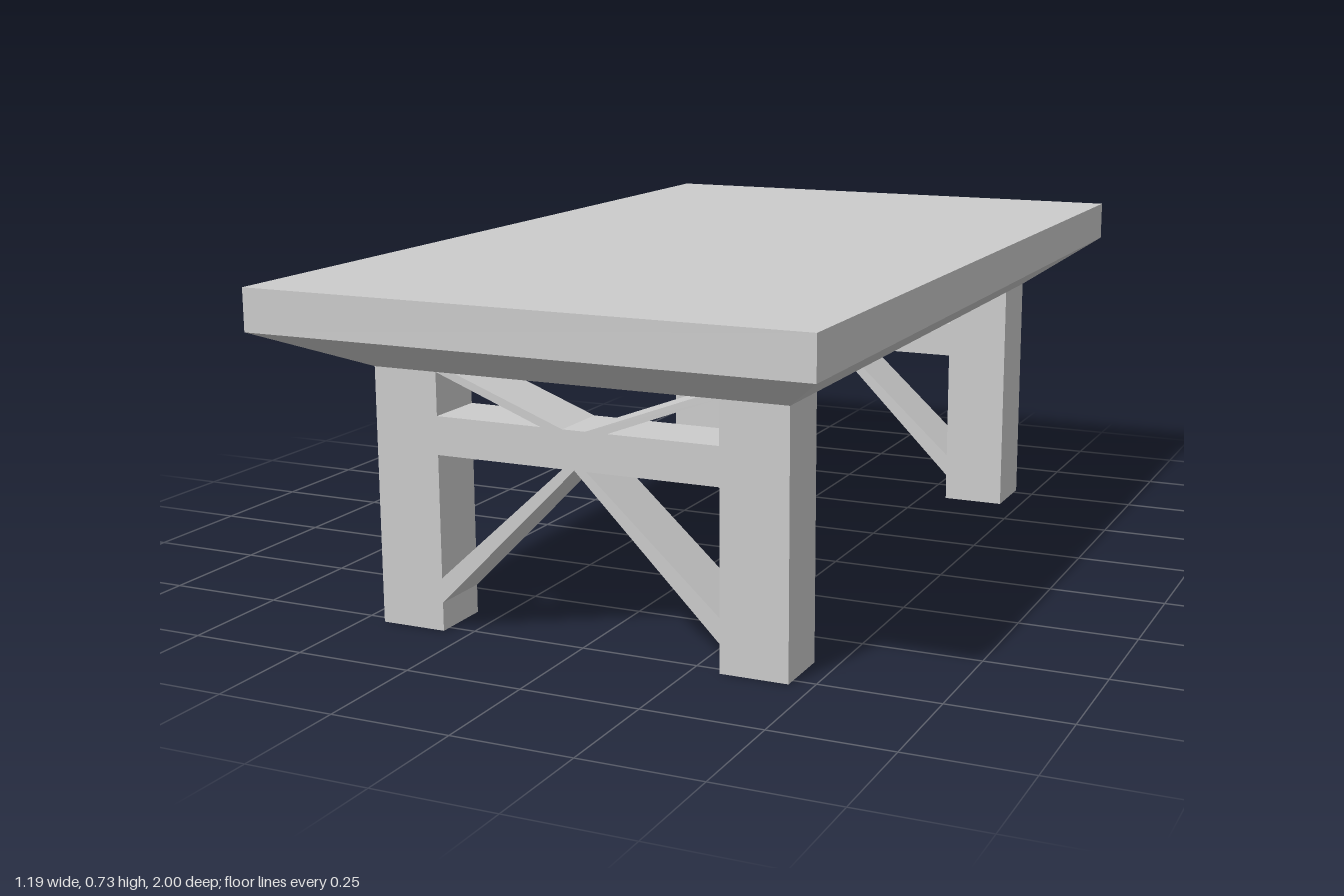
import * as THREE from 'three';

const material = new THREE.MeshStandardMaterial({ color: 0xcccccc, flatShading: true });

function addMesh(parent, name, geometry) {
  const mesh = new THREE.Mesh(geometry, material);
  mesh.name = name;
  parent.add(mesh);
  return mesh;
}

// Box given by its limits on each axis
function block(x0, x1, y0, y1, z0, z1) {
  return new THREE.BoxGeometry(x1 - x0, y1 - y0, z1 - z0)
    .translate((x0 + x1) / 2, (y0 + y1) / 2, (z0 + z1) / 2);
}

// Plank with the given outline, mirrored in x for side = -1
function plank(points, side, z0, z1) {
  const shape = new THREE.Shape(points.map(([x, y]) => new THREE.Vector2(x * side, y)));
  return new THREE.ExtrudeGeometry(shape, { depth: z1 - z0, bevelEnabled: false })
    .translate(0, 0, z0);
}

const TOP_X = 0.593, TOP_Z = 1;
const APRON_X = 0.452, APRON_Z = 0.773;
const APRON_Y = 0.54, SLAB_Y = 0.637, TOP_Y = 0.725;
const LEG_IN = 0.309, RAIL_LOW = 0.37, RAIL_HIGH = 0.45;

function createTrestle(name, z0, z1) {
  const trestle = new THREE.Group();
  trestle.name = name;
  addMesh(trestle, 'crossRail', block(-LEG_IN, LEG_IN, RAIL_LOW, RAIL_HIGH, z0, z1));
  for (const side of [1, -1]) {
    const label = side > 0 ? 'left' : 'right';
    const xs = [side * LEG_IN, side * APRON_X].sort((a, b) => a - b);
    addMesh(trestle, label + 'Leg', block(xs[0], xs[1], 0, APRON_Y, z0, z1));
    // Diagonal braces below and above the rail
    addMesh(trestle, label + 'LowerBrace', plank(
      [[LEG_IN, 0.06], [LEG_IN, 0.112], [0.026, RAIL_LOW], [0, RAIL_LOW]], side, z0, z1));
    addMesh(trestle, label + 'UpperBrace', plank(
      [[0.025, RAIL_HIGH], [0.073, RAIL_HIGH], [LEG_IN, APRON_Y], [0.265, APRON_Y]], side, z0, z1));
  }
  return trestle;
}

export function createModel() {
  const table = new THREE.Group();
  table.name = 'table';

  addMesh(table, 'tableTop', block(-TOP_X, TOP_X, SLAB_Y, TOP_Y, -TOP_Z, TOP_Z));

  // Apron: a block whose lower corners are drawn inward
  const apron = block(-TOP_X, TOP_X, APRON_Y, SLAB_Y, -TOP_Z, TOP_Z);
  const pos = apron.attributes.position;
  for (let i = 0; i < pos.count; i++) {
    if (pos.getY(i) < (APRON_Y + SLAB_Y) / 2) {
      pos.setX(i, Math.sign(pos.getX(i)) * APRON_X);
      pos.setZ(i, Math.sign(pos.getZ(i)) * APRON_Z);
    }
  }
  apron.computeVertexNormals();
  addMesh(table, 'taperedApron', apron);

  table.add(createTrestle('frontTrestle', 0.64, APRON_Z));
  table.add(createTrestle('backTrestle', -APRON_Z, -0.626));
  return table;
}
